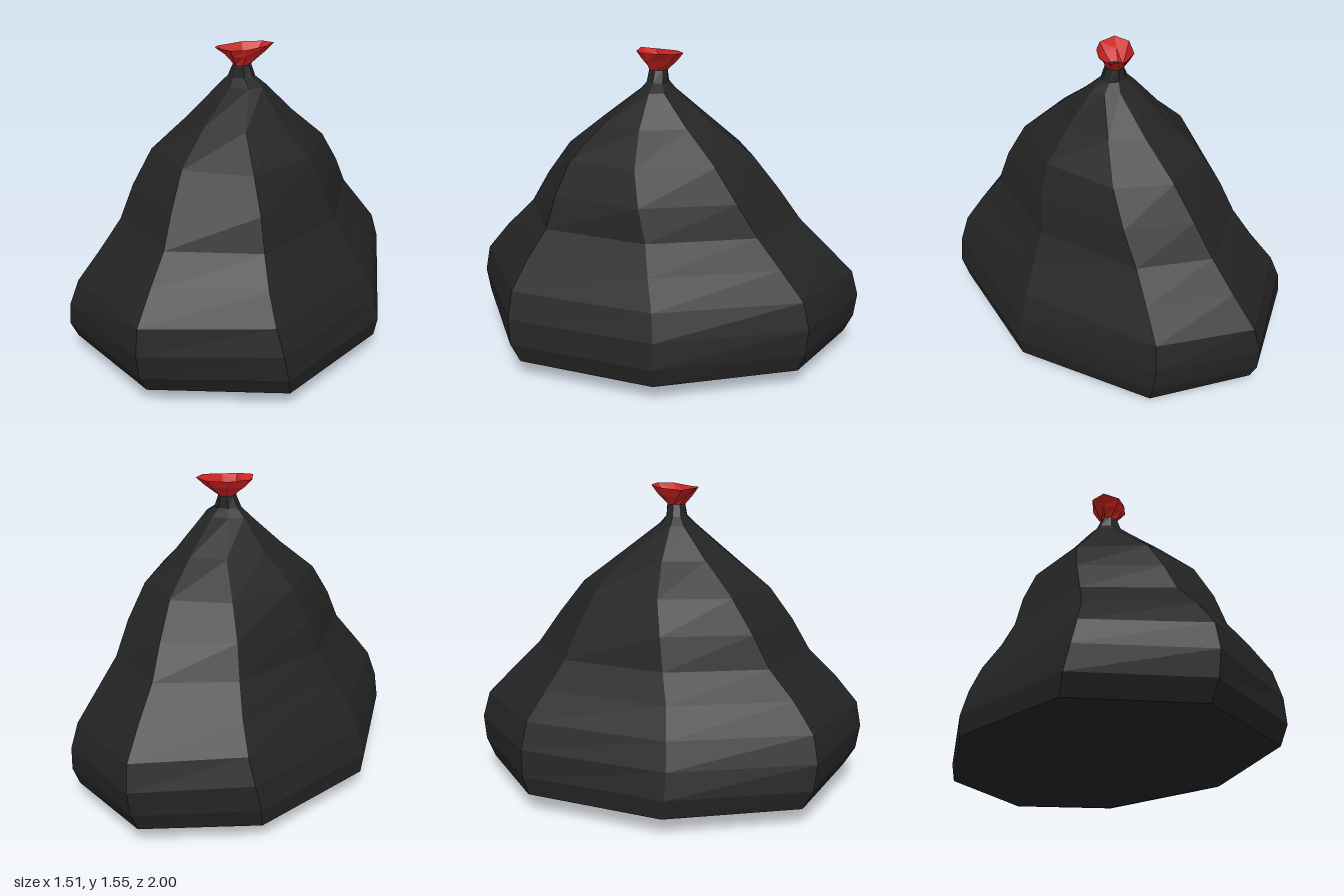
import * as THREE from 'three';

// Loft closed rings of points (bottom to top) into a flat-shaded surface
function loft(rings) {
  const pos = [];
  const tri = (a, b, c) => pos.push(...a, ...b, ...c);
  const same = (a, b) => Math.hypot(a[0] - b[0], a[1] - b[1], a[2] - b[2]) < 1e-5;
  for (let r = 0; r + 1 < rings.length; r++) {
    const low = rings[r], up = rings[r + 1], n = low.length;
    for (let i = 0; i < n; i++) {
      const j = (i + 1) % n;
      if (!same(low[i], low[j])) tri(low[j], low[i], up[i]);
      if (!same(up[i], up[j])) tri(low[j], up[i], up[j]);
    }
  }
  const g = new THREE.BufferGeometry();
  g.setAttribute('position', new THREE.Float32BufferAttribute(pos, 3));
  g.computeVertexNormals();
  return g;
}

// Eight-cornered plan of the sack at its widest, scaled to a unit half-width and half-depth
const plan = [[-0.07, -1], [0.43, -0.8], [0.755, -0.11], [0.66, 0.64],
  [0.07, 1], [-0.54, 0.78], [-0.755, 0.09], [-0.56, -0.65]].map(([x, z]) => [x / 0.755, z]);

// One horizontal ring: height, min x, max x, min z, max z, twist in degrees
function ring([y, x0, x1, z0, z1, twist]) {
  const c = Math.cos(twist * Math.PI / 180), s = Math.sin(twist * Math.PI / 180);
  return plan.map(([u, v]) => [
    (x0 + x1) / 2 + (u * c - v * s) * (x1 - x0) / 2,
    y,
    (z0 + z1) / 2 + (u * s + v * c) * (z1 - z0) / 2,
  ]);
}

export function createModel() {
  const model = new THREE.Group();
  model.name = 'tiedSack';
  const black = new THREE.MeshStandardMaterial({ color: 0x242424 });
  black.name = 'black plastic';
  const red = new THREE.MeshStandardMaterial({ color: 0xcc2222, side: THREE.DoubleSide });
  red.name = 'red plastic';

  // Sack: shallow base, bulging sides, gathered and twisted neck
  const neck = ring([1.455, -0.017, 0.067, -0.015, 0.08, 18]);
  const sackRings = [
    [0, 0, 0, 0, 0, 0],
    [0.025, -0.53, 0.52, -0.66, 0.63, 0],
    [0.09, -0.75, 0.735, -0.94, 0.92, 0],
    [0.185, -0.76, 0.755, -0.985, 0.98, 0],
    [0.31, -0.725, 0.73, -1, 1, 0],
    [0.44, -0.665, 0.68, -0.965, 0.975, 0.5],
    [0.58, -0.57, 0.6, -0.83, 0.86, 1.5],
    [0.72, -0.495, 0.525, -0.69, 0.72, 3],
    [0.88, -0.45, 0.49, -0.58, 0.63, 5.5],
    [1.045, -0.375, 0.42, -0.455, 0.515, 9],
    [1.2, -0.215, 0.27, -0.255, 0.325, 13],
    [1.355, -0.085, 0.155, -0.055, 0.125, 16],
    [1.395, -0.045, 0.095, -0.02, 0.09, 17],
  ].map(ring);
  const plug = ring([1.44, 0.025, 0.025, 0.03, 0.03, 0]);
  const sack = new THREE.Mesh(loft([...sackRings, neck, plug]), black);
  sack.name = 'sack';
  model.add(sack);

  // Flared open collar above the neck, with an uneven rim
  const rim = [[0.06, 1.545, -0.1], [0.135, 1.55, -0.08], [0.142, 1.55, 0], [0.09, 1.54, 0.09],
    [0.03, 1.54, 0.145], [-0.06, 1.545, 0.145], [-0.095, 1.535, 0.075], [-0.03, 1.54, -0.05]];
  const mix = [0.62, 0.6, 0.45];
  const middle = rim.map((p, i) => p.map((v, k) => {
    const t = k === 1 ? 0.55 : mix[i % 3];
    return neck[i][k] + (v - neck[i][k]) * t;
  }));
  const collar = new THREE.Mesh(loft([neck, middle, rim]), red);
  collar.name = 'collar';
  model.add(collar);

  return model;
}
